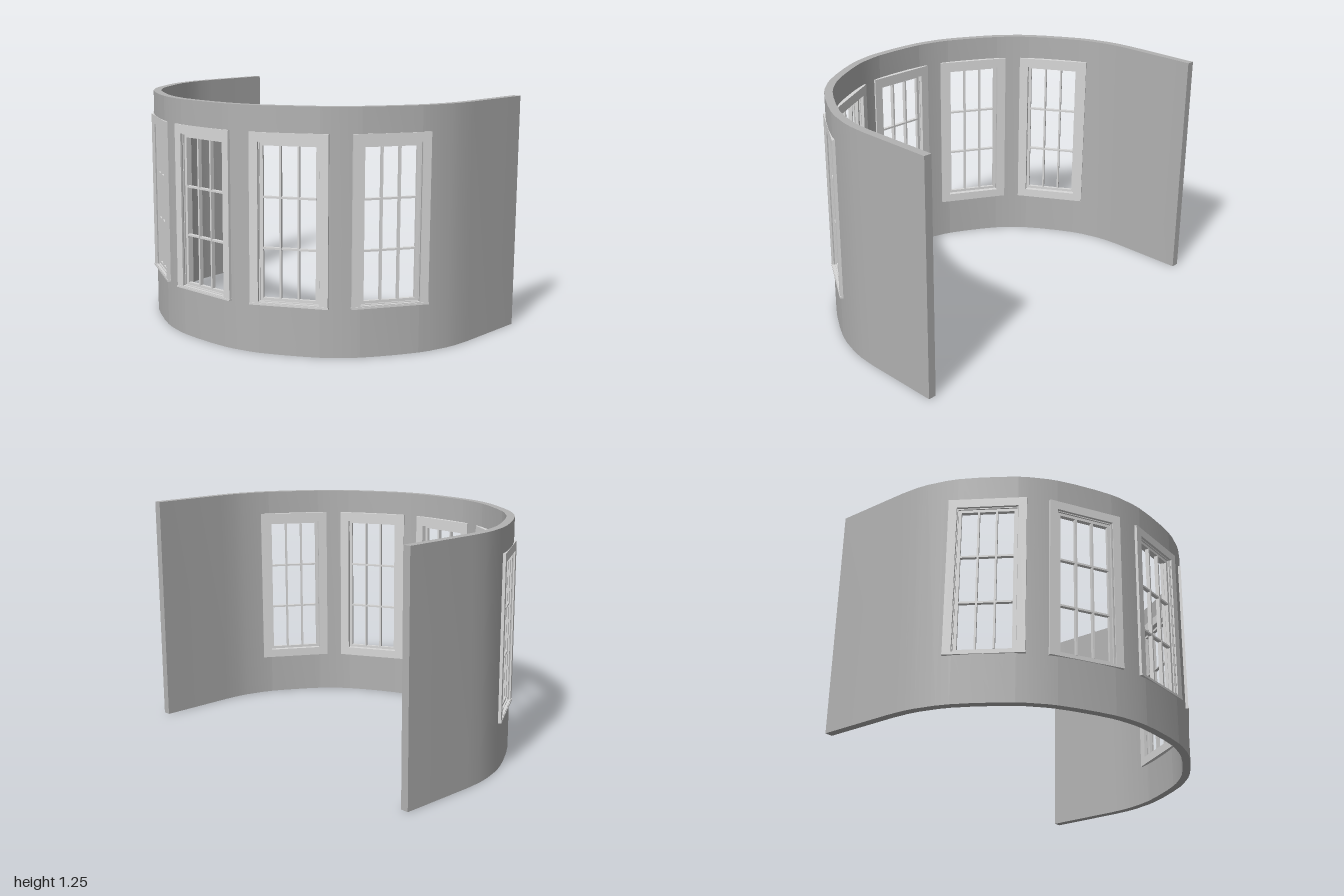
import * as THREE from 'three';
import { toCreasedNormals } from 'three/addons/utils/BufferGeometryUtils.js';

const CX = 0.32, THICK = 0.043, HEIGHT = 1.25, FLAT = 0.06;
const OPEN = { half: 0.155, bottom: 0.265, top: 1.075 };
const rad = THREE.MathUtils.degToRad;
const windowAngles = [-58.6, -29.3, 0, 29.3, 58.6].map(rad);

// Plan of the outer wall face: points with outward normals, plus the indices of the openings
function wallPath() {
  const pts = [], edges = [];
  const add = (x, z, a) => pts.push({ x, z, nx: -Math.cos(a), nz: Math.sin(a) });
  const flats = [-Math.PI / 2, ...windowAngles, Math.PI / 2];
  add(0.68, -1, flats[0]);
  for (let i = 0; i < flats.length - 1; i++) {
    const a = flats[i], b = flats[i + 1], half = (b - a) / 2, mid = (a + b) / 2;
    const r = 1 - FLAT / Math.tan(half);
    const d = (1 - r) / Math.cos(half);
    const e = Math.asin((OPEN.half - FLAT) / r);
    [a, a + e, mid - half / 4, mid + half / 4, b - e, b].forEach((t, j) => {
      if ((j === 1 && i > 0) || (j === 4 && i < flats.length - 2)) edges.push(pts.length);
      add(CX - d * Math.cos(mid) - r * Math.cos(t), d * Math.sin(mid) + r * Math.sin(t), t);
    });
  }
  add(0.68, 1, flats[flats.length - 1]);
  return { pts, edges };
}

// A length of wall standing between two heights
function wallPiece(pts, y0, y1, material, name) {
  const outer = pts.map(p => new THREE.Vector2(p.x, -p.z));
  const inner = pts.map(p => new THREE.Vector2(p.x - p.nx * THICK, -(p.z - p.nz * THICK)));
  const shape = new THREE.Shape([...outer, ...inner.reverse()]);
  const geo = new THREE.ExtrudeGeometry(shape, { depth: y1 - y0, bevelEnabled: false });
  geo.rotateX(-Math.PI / 2).translate(0, y0, 0);
  const mesh = new THREE.Mesh(toCreasedNormals(geo, rad(30)), material);
  mesh.name = name;
  return mesh;
}

// Rectangular ring; each rectangle is [half width, bottom, top]
function ring(name, out, hole, z0, z1, material) {
  const rect = (T, [w, b, t]) => new T([
    new THREE.Vector2(-w, b), new THREE.Vector2(w, b), new THREE.Vector2(w, t), new THREE.Vector2(-w, t)]);
  const shape = rect(THREE.Shape, out);
  shape.holes.push(rect(THREE.Path, hole));
  const geo = new THREE.ExtrudeGeometry(shape, { depth: z1 - z0, bevelEnabled: false });
  const mesh = new THREE.Mesh(geo.translate(0, 0, z0), material);
  mesh.name = name;
  return mesh;
}

function bar(name, w, h, d, x, y, z, material) {
  const mesh = new THREE.Mesh(new THREE.BoxGeometry(w, h, d), material);
  mesh.position.set(x, y, z);
  mesh.name = name;
  return mesh;
}

// Window built with local +z pointing out of the building
function makeWindow(material) {
  const g = new THREE.Group();
  g.name = 'window';
  g.add(
    ring('outerCasing', [0.2, 0.26, 1.12], [0.157, 0.267, 1.073], 0.985, 1.002, material),
    ring('innerCasing', [0.2, 0.225, 1.12], [0.15, 0.272, 1.068], 0.934, 0.96, material),
    ring('jamb', [0.162, 0.258, 1.082], [0.15, 0.272, 1.068], 0.955, 0.988, material),
    ring('sash', [0.152, 0.27, 1.07], [0.134, 0.286, 1.053], 0.962, 0.98, material),
    bar('sill', 0.404, 0.01, 0.024, 0, 0.257, 0.993, material));
  for (const x of [-0.046, 0.046]) g.add(bar('verticalMuntin', 0.01, 0.77, 0.022, x, 0.67, 0.971, material));
  for (const y of [0.54, 0.797]) g.add(bar('horizontalMuntin', 0.27, 0.01, 0.02, 0, y, 0.971, material));
  return g;
}

export function createModel() {
  const model = new THREE.Group();
  model.name = 'curvedWindowWall';
  const wallGrey = new THREE.MeshStandardMaterial({ color: 0xb2b2b2 });
  wallGrey.name = 'wallGrey';
  const frameGrey = new THREE.MeshStandardMaterial({ color: 0xd8d8d8 });
  frameGrey.name = 'frameGrey';

  // Wall: full height piers, with an apron and a lintel at each opening
  const { pts, edges } = wallPath();
  const stops = [0, ...edges, pts.length - 1];
  for (let i = 0; i < stops.length - 1; i++) {
    const part = pts.slice(stops[i], stops[i + 1] + 1);
    if (i % 2 === 0) model.add(wallPiece(part, 0, HEIGHT, wallGrey, 'wallPier'));
    else model.add(
      wallPiece(part, 0, OPEN.bottom, wallGrey, 'wallApron'),
      wallPiece(part, OPEN.top, HEIGHT, wallGrey, 'wallLintel'));
  }

  // Windows set around the curve
  for (const a of windowAngles) {
    const w = makeWindow(frameGrey);
    w.position.x = CX;
    w.rotation.y = a - Math.PI / 2;
    model.add(w);
  }
  return model;
}
